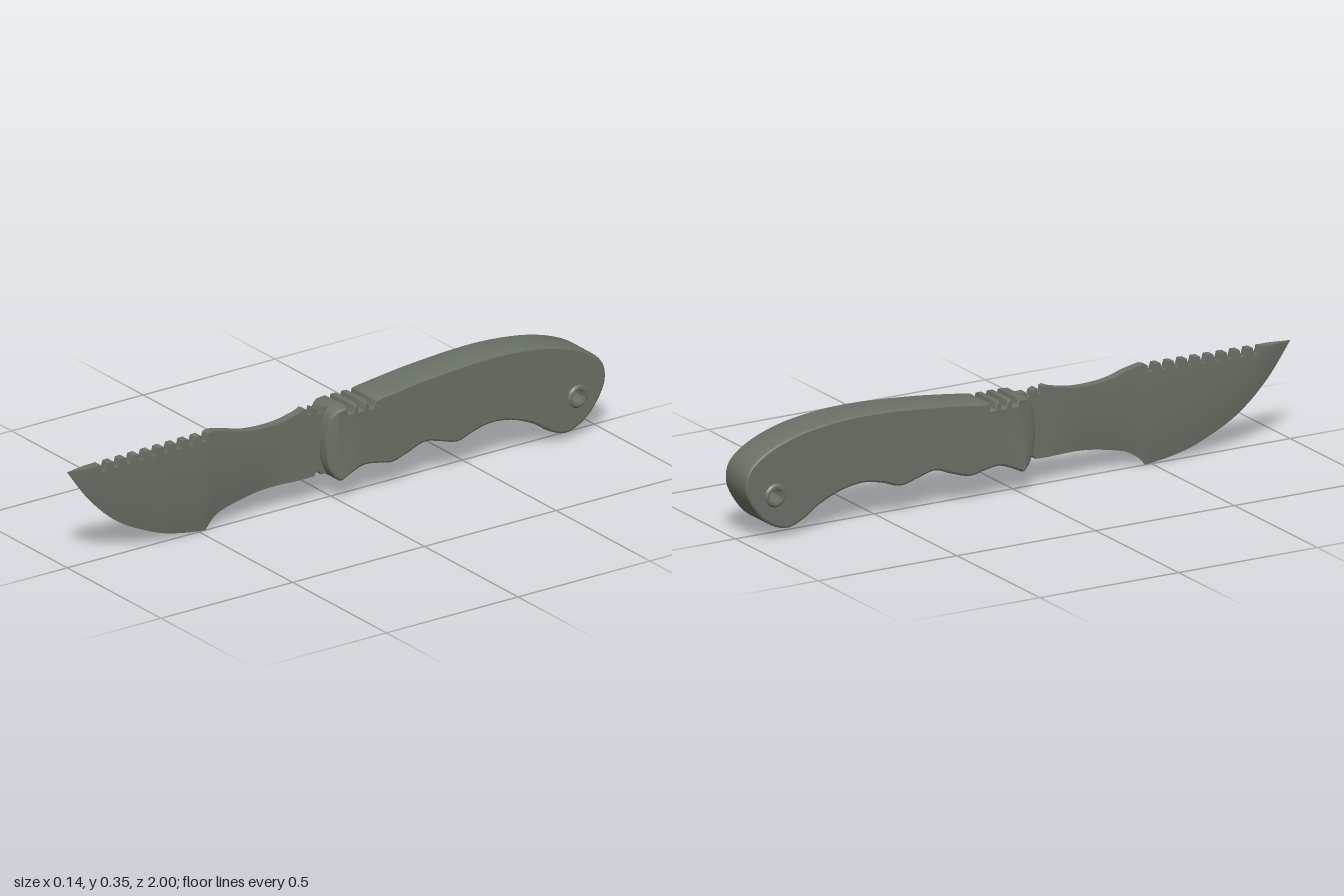
import * as THREE from 'three';
import { toCreasedNormals } from 'three/addons/utils/BufferGeometryUtils.js';

const material = new THREE.MeshStandardMaterial({ color: 0x6a7266 });
const HALF_BLADE = 0.015;
const HALF_HANDLE = 0.064;

// Smooth [z, y] points through a few control points
function spline(points, divisions) {
  const curve = new THREE.SplineCurve(points.map(([z, y]) => new THREE.Vector2(z, y)));
  return curve.getPoints(divisions).map((p) => [p.x, p.y]);
}

// A flat-bottomed saw notch, listed with z ascending
function notch(z, y, depth, mouth, floor) {
  return [[z - mouth, y], [z - floor, y - depth], [z + floor, y - depth], [z + mouth, y]];
}

// Height of a [z, y] polyline at z
function heightAt(line, z) {
  for (let i = 1; i < line.length; i++) {
    const [z0, y0] = line[i - 1], [z1, y1] = line[i];
    if (z <= z1) return THREE.MathUtils.lerp(y0, y1, Math.max(0, (z - z0) / (z1 - z0)));
  }
  return line[line.length - 1][1];
}

function createBlade() {
  // Spine: thumb notches, dipped waist, then saw teeth up to the tip
  const spine = [[-0.02, 0.312], ...notch(0.05, 0.315, 0.018, 0.012, 0.007),
    ...notch(0.09, 0.322, 0.02, 0.012, 0.007),
    ...spline([[0.112, 0.325], [0.14, 0.314], [0.22, 0.3], [0.326, 0.304], [0.406, 0.325], [0.46, 0.336]], 24)];
  for (let i = 0; i < 9; i++) {
    spine.push(...notch(0.49 + i * 0.0475, 0.332 - i * 0.0008, 0.024, 0.014, 0.007));
  }
  spine.push([0.9, 0.324], [1, 0.324]);

  // Underside: straight base, flared heel, then the curved cutting edge
  const belly = [[-0.02, 0.093], ...notch(0.06, 0.093, -0.012, 0.012, 0.006),
    ...spline([[0.09, 0.092], [0.246, 0.089], [0.38, 0.066], [0.44, 0.043], [0.476, 0.005]], 24),
    ...spline([[0.48, 0.004], [0.58, 0.019], [0.674, 0.046], [0.807, 0.112], [0.914, 0.208], [1, 0.323]], 40)];

  const stations = [...new Set([...spine, ...belly].map(([z]) => Math.round(z * 1e4) / 1e4))].sort((a, b) => a - b);
  const rings = stations.map((z) => {
    const top = heightAt(spine, z), bottom = Math.min(heightAt(belly, z), top - 0.001);
    const sharp = THREE.MathUtils.smoothstep(z, 0.1, 0.3);
    const grind = Math.min(0.1, (top - bottom) * 0.98);
    const w = HALF_BLADE * grind / 0.1;
    const edge = THREE.MathUtils.lerp(w, 0.0005, sharp);
    return [[edge, bottom], [w, bottom + grind], [w, top], [-w, top], [-w, bottom + grind], [-edge, bottom]]
      .map(([x, y]) => [x, y, z]);
  });

  const positions = [];
  const tri = (...corners) => corners.forEach((c) => positions.push(...c));
  for (let i = 0; i < rings.length - 1; i++) {
    for (let j = 0; j < 6; j++) {
      const k = (j + 1) % 6;
      const a = rings[i][j], b = rings[i][k], c = rings[i + 1][k], d = rings[i + 1][j];
      tri(a, b, c);
      tri(a, c, d);
    }
  }
  // End caps
  const back = rings[0], front = rings[rings.length - 1];
  for (let j = 1; j < 5; j++) {
    tri(back[0], back[j + 1], back[j]);
    tri(front[0], front[j], front[j + 1]);
  }
  const geometry = new THREE.BufferGeometry();
  geometry.setAttribute('position', new THREE.Float32BufferAttribute(positions, 3));
  return toCreasedNormals(geometry, 0.35);
}

function createHandle() {
  // Underside finger grooves, hooked butt and arched back
  const outline = spline([[0, 0.074], [-0.04, 0.093], [-0.085, 0.107], [-0.135, 0.101], [-0.19, 0.091],
    [-0.25, 0.108], [-0.315, 0.129], [-0.38, 0.114], [-0.44, 0.1], [-0.5, 0.119], [-0.57, 0.132],
    [-0.65, 0.121], [-0.73, 0.089], [-0.79, 0.05], [-0.855, 0.03], [-0.93, 0.065], [-0.983, 0.132],
    [-1, 0.19], [-0.98, 0.248], [-0.9, 0.301], [-0.77, 0.34], [-0.58, 0.357], [-0.34, 0.345],
    [-0.14, 0.322]], 110);
  // Thumb notches across the back
  for (const z of [-0.11, -0.07, -0.03]) outline.push(...notch(z, 0.318, 0.02, 0.011, 0.006));
  // Bulged front end
  outline.push(...spline([[0.012, 0.316], [0.035, 0.298], [0.048, 0.255], [0.053, 0.2],
    [0.048, 0.14], [0.03, 0.098], [0.008, 0.076]], 18));

  const shape = new THREE.Shape(outline.map(([z, y]) => new THREE.Vector2(z, y)));
  shape.holes.push(new THREE.Path().absarc(-0.893, 0.145, 0.031, 0, Math.PI * 2, true));
  const bevel = 0.011;
  const geometry = new THREE.ExtrudeGeometry(shape, {
    depth: 2 * (HALF_HANDLE - bevel), bevelThickness: bevel, bevelSize: 0.008, bevelOffset: -0.008,
    bevelSegments: 2, curveSegments: 24,
  });
  geometry.translate(0, 0, -(HALF_HANDLE - bevel));
  geometry.rotateY(-Math.PI / 2);
  // Round the sides in toward the front end
  const p = geometry.attributes.position;
  for (let i = 0; i < p.count; i++) {
    const t = THREE.MathUtils.smoothstep(p.getZ(i), 0, 0.055);
    p.setX(i, p.getX(i) * (1 - 0.18 * t));
  }
  return toCreasedNormals(geometry, 0.5);
}

function createLanyardTube() {
  const inner = 0.025, outer = 0.038, half = 0.071, c = 0.006;
  const profile = [[inner, -half], [outer - c, -half], [outer, -half + c], [outer, half - c],
    [outer - c, half], [inner, half], [inner, -half]].map(([r, y]) => new THREE.Vector2(r, y));
  const geometry = new THREE.LatheGeometry(profile, 32);
  geometry.rotateZ(Math.PI / 2);
  geometry.translate(0, 0.145, -0.893);
  return toCreasedNormals(geometry, 0.5);
}

export function createModel() {
  const model = new THREE.Group();
  model.name = 'knife';
  const parts = { blade: createBlade(), handle: createHandle(), lanyardTube: createLanyardTube() };
  for (const [name, geometry] of Object.entries(parts)) {
    const mesh = new THREE.Mesh(geometry, material);
    mesh.name = name;
    model.add(mesh);
  }
  return model;
}
